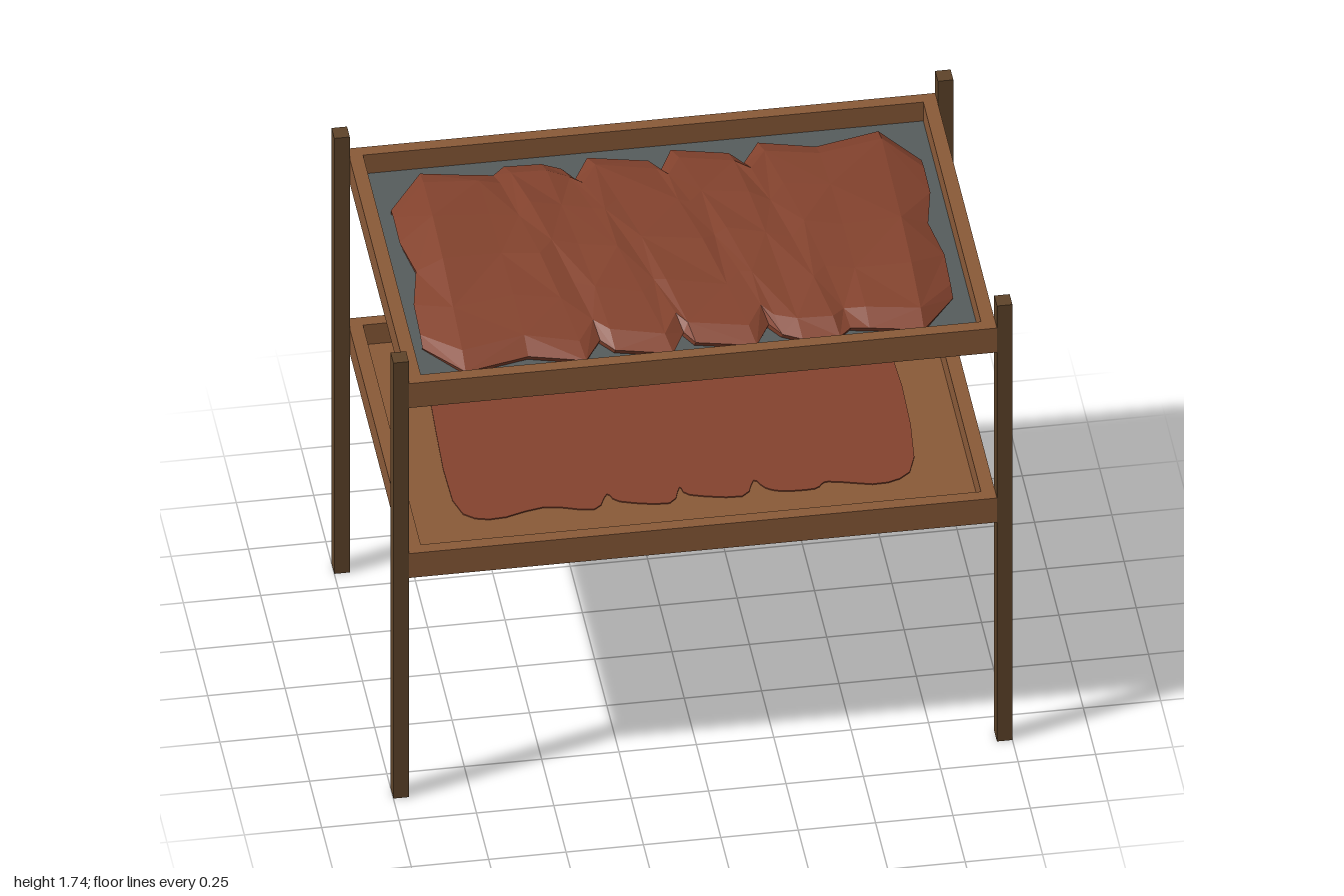
import * as THREE from 'three';

const material = (name, color) => {
  const m = new THREE.MeshStandardMaterial({ color });
  m.name = name;
  return m;
};

// Back edge of the hide as [x, z]; the front edge is the same line turned half round
const EDGE = [
  [-0.85, -0.37], [-0.73, -0.535], [-0.56, -0.5], [-0.5, -0.49], [-0.46, -0.53], [-0.34, -0.525],
  [-0.28, -0.49], [-0.245, -0.43], [-0.19, -0.535], [0, -0.49], [0.03, -0.43], [0.08, -0.535],
  [0.26, -0.49], [0.3, -0.43], [0.36, -0.53], [0.54, -0.48], [0.75, -0.53], [0.865, -0.37],
];
const LAST = EDGE.length - 1;
const frontEdge = (i) => EDGE[LAST - i].map((v) => -v);

// Lumpy faceted sheet: columns along x, rows across z, the outer ring folded down to the base
function hideGeometry() {
  const rows = [[-0.97, 0], [-1, 0.022], [-0.85, 0.05], [-0.45, 0.068], [0, 0.078],
    [0.45, 0.068], [0.85, 0.05], [1, 0.022], [0.97, 0]];
  const columns = EDGE.map((_, i) => i);
  columns.unshift(0);
  columns.push(LAST);
  const positions = [], index = [];
  columns.forEach((i, c) => {
    const skirt = c === 0 || c === columns.length - 1;
    const end = i === 0 || i === LAST;
    const [bx, bz] = EDGE[i], [fx, fz] = frontEdge(i);
    rows.forEach(([s, h], r) => {
      const t = (s + 1) / 2;
      let x = bx + (fx - bx) * t;
      if (end) x *= 1 - 0.035 * Math.max(0, 1 - Math.abs(s) * 2.5);
      if (skirt) x *= 0.985;
      const bump = h > 0.03 ? 0.005 * Math.sin(i * 2.3 + r * 1.7) : 0;
      const y = skirt ? 0 : end ? h * 0.5 : h + bump;
      positions.push(x, y, bz + (fz - bz) * t);
    });
  });
  const n = rows.length;
  for (let c = 0; c < columns.length - 1; c++) {
    for (let r = 0; r < n - 1; r++) {
      const a = c * n + r, b = a + 1, d = a + n, e = d + 1;
      if ((c + r) % 2) index.push(a, b, e, a, e, d);
      else index.push(a, b, d, b, e, d);
    }
  }
  const indexed = new THREE.BufferGeometry();
  indexed.setAttribute('position', new THREE.Float32BufferAttribute(positions, 3));
  indexed.setIndex(index);
  const faceted = indexed.toNonIndexed();
  faceted.computeVertexNormals();
  return faceted;
}

// Flat lobed patch following a smaller version of the hide outline
function patchGeometry() {
  const points = [...EDGE, ...EDGE.map(([x, z]) => [-x, -z])]
    .map(([x, z]) => new THREE.Vector2(x * 0.87, -z * 0.74));
  const outline = new THREE.SplineCurve([...points, points[0]]).getPoints(108);
  const g = new THREE.ExtrudeGeometry(new THREE.Shape(outline), { depth: 0.004, bevelEnabled: false });
  return g.rotateX(-Math.PI / 2);
}

export function createModel() {
  const model = new THREE.Group();
  model.name = 'dryingRack';
  const wood = material('railWood', 0x8a5a38);
  const darkWood = material('postWood', 0x5f442a);
  const slate = material('greyLining', 0x565c5c);
  const red = material('redBrownHide', 0x84432e);

  const add = (parent, name, geometry, mat, x = 0, y = 0, z = 0) => {
    const mesh = new THREE.Mesh(geometry, mat);
    mesh.name = name;
    mesh.position.set(x, y, z);
    parent.add(mesh);
  };
  const box = (parent, name, w, h, d, mat, x, y, z) =>
    add(parent, name, new THREE.BoxGeometry(w, h, d), mat, x, y, z);

  // Corner posts
  for (const x of [-1, 1]) {
    for (const z of [-1, 1]) box(model, 'post', 0.05, 1.737, 0.056, darkWood, x * 0.975, 0.8685, z * 0.605);
  }

  // Two shallow trays
  const tray = (name, y) => {
    const group = new THREE.Group();
    group.name = name;
    group.position.y = y;
    for (const s of [-1, 1]) {
      box(group, 'longRail', 1.9, 0.097, 0.042, wood, 0, 0.0485, s * 0.612);
      box(group, 'shortRail', 0.045, 0.097, 1.182, wood, s * 0.9275, 0.0485, 0);
    }
    box(group, 'trayFloor', 1.81, 0.018, 1.182, wood, 0, 0.009, 0);
    model.add(group);
    return group;
  };
  const upper = tray('upperTray', 1.552);
  box(upper, 'lining', 1.81, 0.004, 1.182, slate, 0, 0.02, 0);
  add(upper, 'hide', hideGeometry(), red, 0, 0.022, 0);

  const lower = tray('lowerTray', 0.874);
  add(lower, 'redPatch', patchGeometry(), red, 0, 0.018, 0);

  return model;
}
